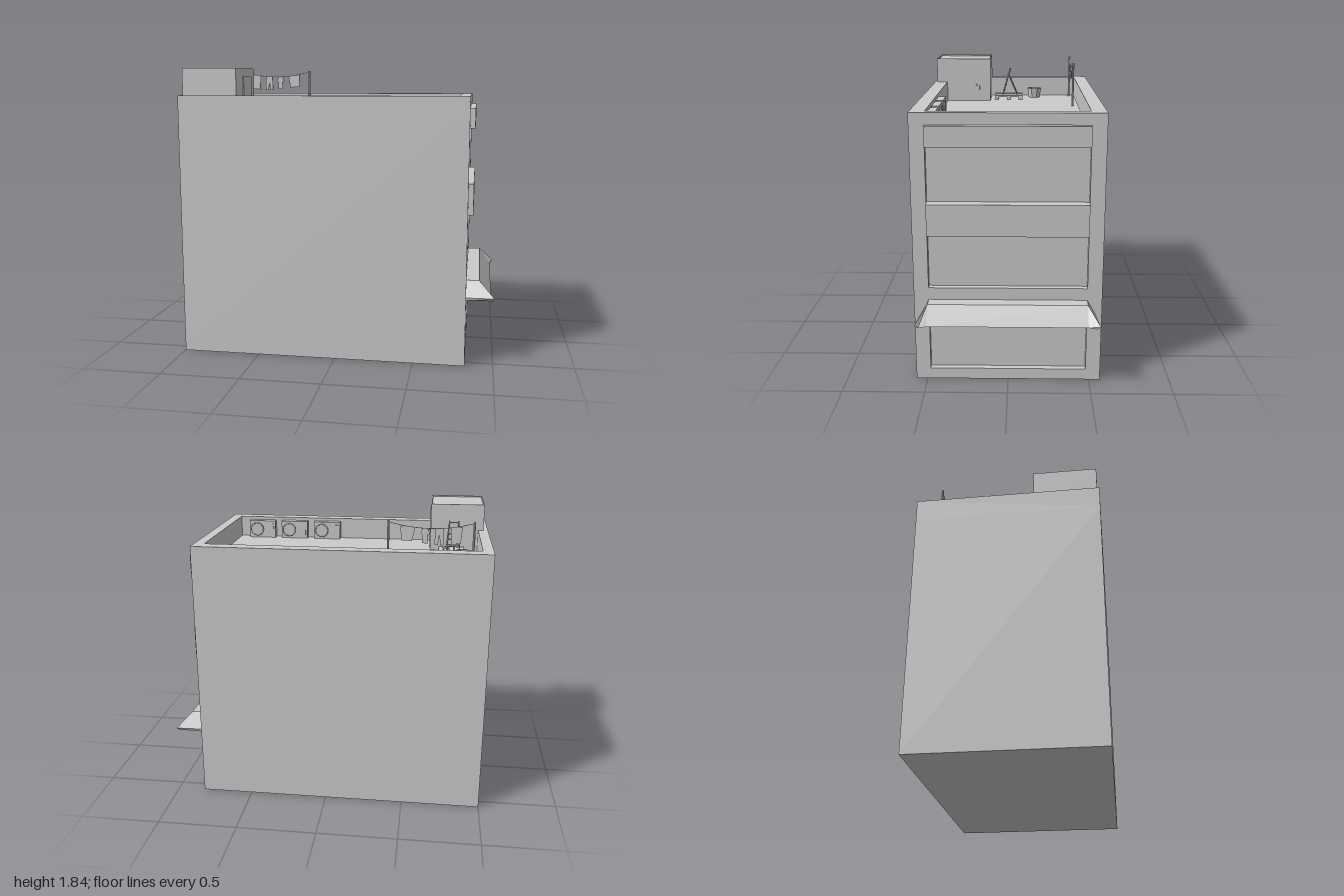
import * as THREE from 'three';
import { RoundedBoxGeometry } from 'three/addons/geometries/RoundedBoxGeometry.js';

const mat = new THREE.MeshStandardMaterial({ color: 0xcccccc, flatShading: true, side: THREE.DoubleSide });
const FLOOR = 1.53, TOP = 1.67;

function add(parent, name, geometry, x = 0, y = 0, z = 0) {
  const m = new THREE.Mesh(geometry, mat);
  m.name = name;
  m.position.set(x, y, z);
  parent.add(m);
  return m;
}

// box given by its limits on each axis
function box(parent, name, x0, x1, y0, y1, z0, z1) {
  return add(parent, name, new THREE.BoxGeometry(x1 - x0, y1 - y0, z1 - z0),
    (x0 + x1) / 2, (y0 + y1) / 2, (z0 + z1) / 2);
}

// round or square bar between two points
function bar(parent, name, a, b, r, sides = 6) {
  const p = new THREE.Vector3(...a), q = new THREE.Vector3(...b);
  const m = add(parent, name, new THREE.CylinderGeometry(r, r, p.distanceTo(q), sides));
  m.position.copy(p).add(q).multiplyScalar(0.5);
  m.quaternion.setFromUnitVectors(new THREE.Vector3(0, 1, 0), q.sub(p).normalize());
  return m;
}

const rect = (x0, x1, y0, y1) => [[x0, y0], [x1, y0], [x1, y1], [x0, y1]].map(p => new THREE.Vector2(...p));

function plate(outline, holes, depth) {
  const s = new THREE.Shape(outline);
  for (const h of holes) s.holes.push(new THREE.Path(h));
  return new THREE.ExtrudeGeometry(s, { depth, bevelEnabled: false });
}

function group(parent, name, x = 0, y = 0, z = 0) {
  const g = new THREE.Group();
  g.name = name;
  g.position.set(x, y, z);
  parent.add(g);
  return g;
}

// awning: four-point sections lofted along z, flared at both ends
function awningGeometry() {
  const end = s => [[0.825, 0.43, 0.535 * s], [1, 0.435, 0.55 * s], [0.99, 0.415, 0.53 * s], [0.825, 0.41, 0.53 * s]];
  const mid = s => [[0.825, 0.53, 0.48 * s], [0.905, 0.53, 0.48 * s], [0.98, 0.42, 0.48 * s], [0.825, 0.41, 0.48 * s]];
  const rows = [end(-1), mid(-1), mid(1), end(1)];
  const pos = [];
  const quad = (a, b, c, d) => pos.push(...a, ...b, ...c, ...a, ...c, ...d);
  for (let i = 0; i < 3; i++) {
    for (let j = 0; j < 4; j++) {
      const k = (j + 1) % 4;
      quad(rows[i][j], rows[i + 1][j], rows[i + 1][k], rows[i][k]);
    }
  }
  quad(...rows[0]);
  quad(...rows[3].reverse());
  const g = new THREE.BufferGeometry();
  g.setAttribute('position', new THREE.Float32BufferAttribute(pos, 3));
  g.computeVertexNormals();
  return g;
}

function buildBuilding(root) {
  const g = group(root, 'building');
  box(g, 'body', -1, 0.785, 0, FLOOR, -0.57, 0.57);
  const parapet = plate(rect(-1, 0.785, -0.57, 0.57), [rect(-0.935, 0.76, -0.48, 0.48)], TOP - FLOOR);
  add(g, 'parapet', parapet.rotateX(-Math.PI / 2), 0, FLOOR, 0);
  // street face with a shop opening below and a tall one above
  const frame = plate(rect(-0.57, 0.57, 0, TOP),
    [rect(-0.48, 0.48, 0.07, 0.42), rect(-0.48, 0.48, 0.605, 1.6)], 0.04);
  add(g, 'facadeFrame', frame.rotateY(Math.PI / 2), 0.785, 0, 0);
  for (const [y0, y1] of [[0.94, 1.135], [1.475, 1.598]]) box(g, 'facadeBand', 0.785, 0.857, y0, y1, -0.48, 0.48);
  add(g, 'awning', awningGeometry());
}

function buildStairHouse(root) {
  const g = group(root, 'stairHouse');
  box(g, 'walls', -0.97, -0.62, FLOOR, 1.832, 0.16, 0.555);
  const rim = plate(rect(-0.97, -0.62, -0.555, -0.16), [rect(-0.962, -0.628, -0.547, -0.168)], 0.008);
  add(g, 'roofRim', rim.rotateX(-Math.PI / 2), 0, 1.832, 0);
  box(g, 'door', -0.62, -0.614, FLOOR, 1.79, 0.24, 0.41);
  add(g, 'doorKnob', new THREE.SphereGeometry(0.007, 8, 6), -0.61, 1.65, 0.262);
}

function buildClothesLine(root) {
  const g = group(root, 'clothesLine', 0, 0, -0.44);
  const ropeY = x => 1.825 - 0.035 * (1 - ((x + 0.625) / 0.255) ** 2);
  const points = [];
  for (let i = 0; i <= 8; i++) {
    const x = -0.88 + (0.51 * i) / 8;
    points.push(new THREE.Vector3(x, ropeY(x), 0));
  }
  add(g, 'rope', new THREE.TubeGeometry(new THREE.CatmullRomCurve3(points), 24, 0.002, 5));
  for (const x of [-0.88, -0.37]) bar(g, 'pole', [x, FLOOR, 0], [x, 1.833, 0], 0.007, 8);
  // garment outlines, hung from the rope at their middle
  const towel = [[-0.035, 0], [0.035, 0], [0.03, -0.105], [-0.028, -0.1]];
  const trousers = [[-0.024, 0], [0.024, 0], [0.028, -0.1], [0.007, -0.1], [0, -0.035], [-0.007, -0.1], [-0.028, -0.1]];
  const shirt = [[-0.014, 0], [0.014, 0], [0.028, -0.03], [0.016, -0.04], [0.018, -0.09], [-0.018, -0.09], [-0.016, -0.04], [-0.028, -0.03]];
  const skirt = [[-0.045, -0.005], [0.042, 0.003], [0.038, -0.085], [-0.028, -0.088]];
  for (const [name, x, outline] of [['towel', -0.775, towel], ['trousers', -0.675, trousers], ['shirt', -0.59, shirt], ['skirt', -0.485, skirt]]) {
    add(g, name, plate(outline.map(p => new THREE.Vector2(...p)), [], 0.006), x, ropeY(x), -0.003);
  }
}

function buildPalletAndLadder(root) {
  const p = group(root, 'pallet');
  for (const z of [-0.065, 0.025, 0.115]) box(p, 'bearer', -0.845, -0.675, FLOOR, 1.55, z - 0.014, z + 0.014);
  for (let i = 0; i < 5; i++) {
    const x = -0.845 + i * 0.035;
    box(p, 'slat', x, x + 0.028, 1.55, 1.56, -0.08, 0.13);
  }
  const g = group(root, 'stepLadder', -0.77, 0, 0);
  for (const s of [-1, 1]) {
    bar(g, 'frontRail', [0.043 * s, 1.56, 0.07], [0.028 * s, 1.755, 0.013], 0.005);
    bar(g, 'backLeg', [0.042 * s, 1.56, -0.04], [0.03 * s, 1.71, 0.026], 0.004);
  }
  for (let i = 0; i < 5; i++) {
    const t = 0.15 + i * 0.2, w = 0.043 - 0.015 * t;
    box(g, 'step', -w, w, 1.557 + 0.195 * t, 1.563 + 0.195 * t, 0.062 - 0.057 * t, 0.078 - 0.057 * t);
  }
  bar(g, 'backBrace', [-0.04, 1.595, -0.025], [0.04, 1.595, -0.025], 0.004);
}

function buildTub(root) {
  const profile = [[0, 0], [0.045, 0], [0.056, 0.07], [0.043, 0.07], [0.038, 0.015], [0, 0.015]];
  const geo = new THREE.LatheGeometry(profile.map(p => new THREE.Vector2(...p)), 8).rotateY(Math.PI / 8);
  add(root, 'tub', geo, -0.83, FLOOR, -0.17);
}

function buildStacks(root) {
  [[0.5, 4], [0.607, 5], [0.705, 5]].forEach(([x, count], n) => {
    const g = group(root, 'stack', x, FLOOR, -0.4);
    for (let i = 0; i < count; i++) {
      const m = add(g, 'sack', new RoundedBoxGeometry(0.068, 0.02, 0.1, 2, 0.009), 0, 0.01 + i * 0.02, 0);
      m.rotation.y = 0.06 * Math.sin(2.3 * i + n);
    }
  });
}

function buildCoolers(root) {
  for (const x of [0.122, 0.36, 0.595]) {
    const g = group(root, 'airConditioner', x, FLOOR, 0);
    box(g, 'case', -0.094, 0.094, 0, 0.12, 0.43, 0.478);
    add(g, 'fanCover', new THREE.CylinderGeometry(0.043, 0.047, 0.01, 16).rotateX(-Math.PI / 2), 0.038, 0.06, 0.425);
    add(g, 'fanRing', new THREE.TorusGeometry(0.044, 0.004, 6, 16), 0.038, 0.06, 0.422);
    box(g, 'sidePanel', -0.082, -0.03, 0.02, 0.1, 0.427, 0.43);
  }
}

export function createModel() {
  const root = new THREE.Group();
  root.name = 'rooftopBuilding';
  buildBuilding(root);
  buildStairHouse(root);
  buildClothesLine(root);
  buildPalletAndLadder(root);
  buildTub(root);
  buildStacks(root);
  buildCoolers(root);
  return root;
}
